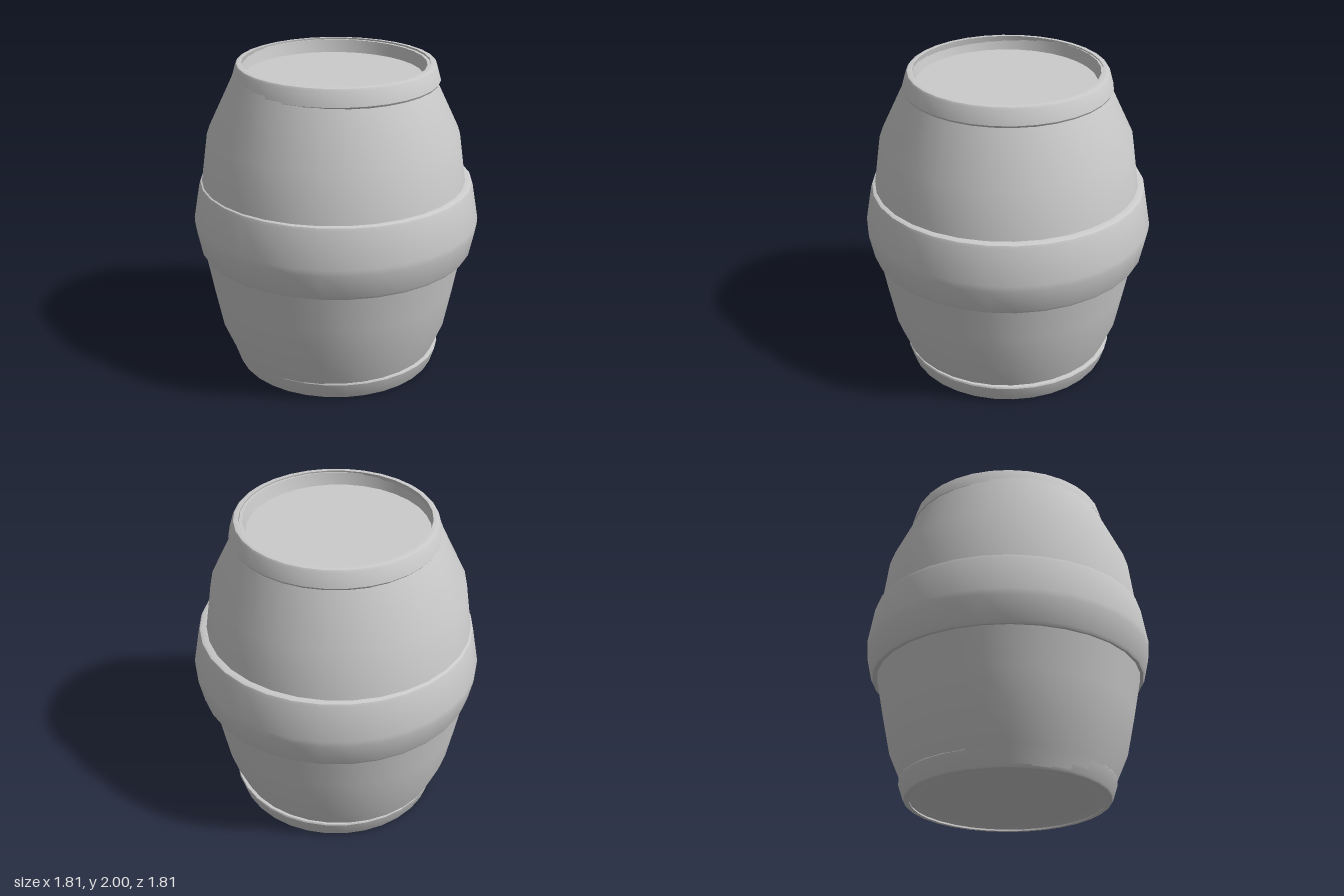
import * as THREE from 'three';
import { toCreasedNormals } from 'three/addons/utils/BufferGeometryUtils.js';

const SIDES = 32;
const grey = new THREE.MeshStandardMaterial({ color: 0xcccccc });

// Turn a [radius, height] profile around the y axis, keeping sharp edges
function turned(name, profile, crease = 0.6) {
  const points = profile.map(([r, y]) => new THREE.Vector2(r, y));
  const geometry = toCreasedNormals(new THREE.LatheGeometry(points, SIDES), crease);
  const mesh = new THREE.Mesh(geometry, grey);
  mesh.name = name;
  return mesh;
}

// Closed hoop: outer profile from bottom to top, with a hidden inner wall
function hoop(name, outer, innerBottom, innerTop) {
  const bottom = outer[0], top = outer[outer.length - 1];
  return turned(name, [[innerBottom, bottom[1]], ...outer, [innerTop, top[1]], [innerBottom, bottom[1]]]);
}

export function createModel() {
  const barrel = new THREE.Group();
  barrel.name = 'barrel';

  // Bulging staves with a flat base and a recessed lid
  const body = turned('body', [
    [0, 0.005], [0.6, 0.005], [0.625, 0.015], [0.665, 0.13], [0.737, 0.3], [0.788, 0.55],
    [0.835, 0.8], [0.872, 1.0], [0.831, 1.25], [0.788, 1.56], [0.637, 1.88], [0.6, 1.98],
    [0.595, 1.99], [0.575, 1.99], [0.56, 1.91], [0, 1.91],
  ]);
  // The body sits slightly off centre inside its hoops
  body.position.set(-0.015, 0, -0.008);
  barrel.add(body);

  // Wide hoop around the belly
  barrel.add(hoop('middleHoop', [
    [0.845, 0.79], [0.86, 0.793], [0.87, 0.81], [0.902, 0.96], [0.904, 1.0],
    [0.865, 1.225], [0.858, 1.243], [0.843, 1.25],
  ], 0.79, 0.79));

  // Narrow hoops at the two ends
  barrel.add(hoop('bottomHoop', [
    [0.62, 0], [0.634, 0.004], [0.642, 0.015], [0.672, 0.11], [0.668, 0.12], [0.655, 0.122],
  ], 0.6, 0.62));
  barrel.add(hoop('topHoop', [
    [0.625, 1.88], [0.638, 1.882], [0.645, 1.895], [0.62, 1.985], [0.612, 1.997], [0.6, 2],
  ], 0.6, 0.58));

  return barrel;
}
